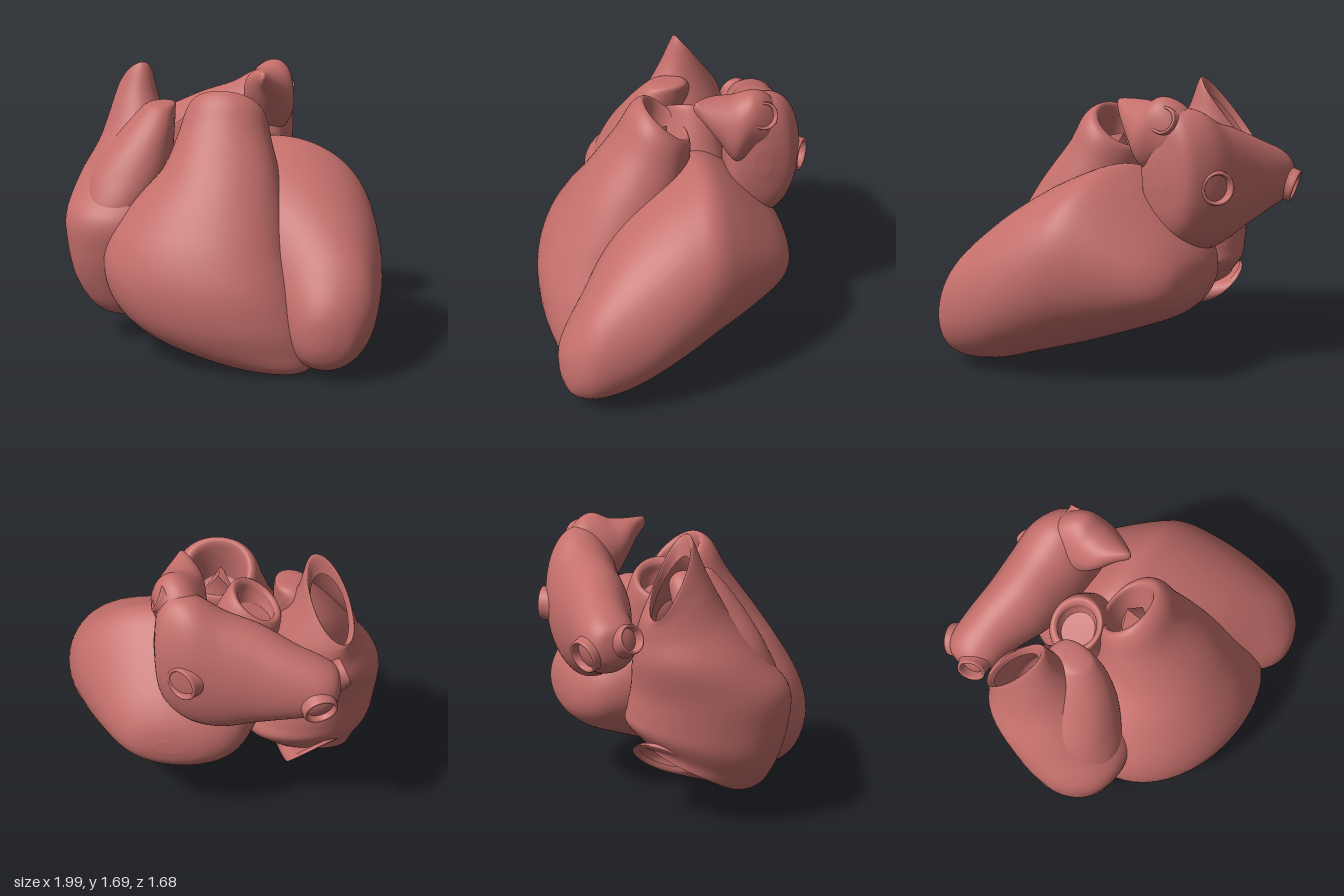
import * as THREE from 'three';

const material = new THREE.MeshStandardMaterial({ color: 0xc46f6b, side: THREE.DoubleSide });

// A ring is [centre, half-axis u, half-axis v] as nine numbers.
const yRing = (x, y, z, rx, rz, tilt = 0, lean = 0, rise = 0) => [x, y, z, rx, rise, 0, lean, tilt, rz];
const zRing = (z, x0, x1, y0, y1, lean = 0) =>
  [(x0 + x1) / 2, (y0 + y1) / 2, z, (x1 - x0) / 2, 0, 0, lean, (y1 - y0) / 2, 0];
const xRing = (x, y, z, ry, rz, slant = 0) => [x, y, z, 0, 0, rz, 0, ry, slant];

// Smooth skin through rings; power above 2 squares the section slightly.
function loft(name, rings, { power = 2, capStart = false, capEnd = false } = {}) {
  const around = 64, sub = 7, rows = (rings.length - 1) * sub;
  const pos = [], idx = [];
  const rounded = (t) => Math.sign(t) * Math.abs(t) ** (2 / power);
  const at = (i) => rings[Math.min(Math.max(i, 0), rings.length - 1)];
  for (let r = 0; r <= rows; r++) {
    const i = Math.min(Math.floor(r / sub), rings.length - 2), t = r / sub - i;
    const a = at(i - 1), b = at(i), c = at(i + 1), d = at(i + 2);
    const m = b.map((p, k) => 0.5 * (2 * p + (c[k] - a[k]) * t
      + (2 * a[k] - 5 * p + 4 * c[k] - d[k]) * t * t
      + (3 * p - a[k] - 3 * c[k] + d[k]) * t * t * t));
    for (let j = 0; j < around; j++) {
      const w = (j / around) * Math.PI * 2, cu = rounded(Math.cos(w)), cv = rounded(Math.sin(w));
      for (let k = 0; k < 3; k++) pos.push(m[k] + m[3 + k] * cu + m[6 + k] * cv);
      if (r < rows) {
        const p = r * around + j, q = r * around + (j + 1) % around;
        idx.push(p, q, p + around, q, q + around, p + around);
      }
    }
  }
  const cap = (ring, row, flip) => {
    const n = pos.length / 3;
    pos.push(ring[0], ring[1], ring[2]);
    for (let j = 0; j < around; j++) {
      const p = row * around + j, q = row * around + (j + 1) % around;
      idx.push(n, flip ? q : p, flip ? p : q);
    }
  };
  if (capStart) cap(rings[0], 0, true);
  if (capEnd) cap(rings[rings.length - 1], rows, false);
  const g = new THREE.BufferGeometry();
  g.setAttribute('position', new THREE.Float32BufferAttribute(pos, 3));
  g.setIndex(idx);
  g.computeVertexNormals();
  const mesh = new THREE.Mesh(g, material);
  mesh.name = name;
  return mesh;
}

// Flared vessel stump with a rolled lip and a hollow bore.
function vessel(name, base, tip, radius) {
  const from = new THREE.Vector3(...base), dir = new THREE.Vector3(...tip).sub(from);
  const len = dir.length();
  const profile = [[1.55, 0], [1.25, 0.4], [1.08, 0.75], [1.05, 0.95], [0.97, 1], [0.84, 0.95], [0.75, 0.6], [0.6, 0.2], [0, 0.1]]
    .map(([r, h]) => new THREE.Vector2(r * radius, h * len));
  const curve = new THREE.SplineCurve(profile);
  const mesh = new THREE.Mesh(new THREE.LatheGeometry(curve.getPoints(40), 40), material);
  mesh.position.copy(from);
  mesh.quaternion.setFromUnitVectors(new THREE.Vector3(0, 1, 0), dir.normalize());
  mesh.name = name;
  return mesh;
}

export function createModel() {
  const heart = new THREE.Group();
  heart.name = 'heart';

  // Left ventricle: long egg, apex low at the front, wide towards the base
  heart.add(loft('leftVentricle', [
    zRing(-0.675, 0.12, 0.3, 0.59, 0.67),
    zRing(-0.655, -0.02, 0.42, 0.51, 0.76),
    zRing(-0.6, -0.15, 0.52, 0.44, 0.86),
    zRing(-0.5, -0.24, 0.62, 0.375, 0.98),
    zRing(-0.3, -0.31, 0.77, 0.29, 1.18, -0.02),
    zRing(-0.15, -0.31, 0.86, 0.23, 1.265, -0.02),
    zRing(0, -0.25, 0.92, 0.18, 1.22, -0.04),
    zRing(0.2, -0.1, 0.97, 0.12, 1.11, -0.06),
    zRing(0.4, 0.12, 0.99, 0.06, 0.95, -0.04),
    zRing(0.6, 0.38, 0.98, 0.045, 0.73),
    zRing(0.73, 0.53, 0.9, 0.09, 0.54),
    zRing(0.785, 0.62, 0.8, 0.18, 0.42),
    zRing(0.8, 0.69, 0.73, 0.27, 0.33),
  ], { power: 2.1, capStart: true, capEnd: true }));

  // Right ventricle: wide pouch narrowing to a tilted, hollow outlet
  heart.add(loft('rightVentricle', [
    yRing(-0.01, 1.2, 0.1, 0.13, 0.1, 0.08),
    yRing(-0.01, 1.36, 0.05, 0.155, 0.11, 0.1),
    yRing(-0.01, 1.445, 0.03, 0.175, 0.12, 0.108),
    yRing(-0.005, 1.45, 0.035, 0.215, 0.145, 0.12),
    yRing(0, 1.4, 0.065, 0.25, 0.18, 0.115),
    yRing(0, 1.28, 0.115, 0.285, 0.225, 0.07),
    yRing(-0.005, 1.1, 0.21, 0.355, 0.32, 0, 0.02),
    yRing(-0.065, 0.9, 0.27, 0.47, 0.39, 0, 0.06),
    yRing(-0.11, 0.7, 0.335, 0.555, 0.435, 0, 0.1),
    yRing(-0.085, 0.5, 0.4, 0.595, 0.435, 0, 0.12),
    yRing(0, 0.3, 0.44, 0.58, 0.395, 0, 0.12),
    yRing(0.14, 0.15, 0.49, 0.485, 0.3, 0, 0.08),
    yRing(0.335, 0.045, 0.56, 0.28, 0.17, 0, 0.03),
    yRing(0.45, 0.005, 0.6, 0.08, 0.05),
  ], { power: 2.1, capStart: true, capEnd: true }));

  // Three-sided valve inside the outlet
  const valve = new THREE.Mesh(new THREE.ConeGeometry(0.13, 0.15, 3, 1, true), material);
  valve.position.set(-0.01, 1.34, 0.06);
  valve.rotation.set(-0.6, 0, 0);
  valve.name = 'outletValve';
  heart.add(valve);

  // Right atrium: open at the tilted upper vein and at the lower rear vein
  heart.add(loft('rightAtrium', [
    yRing(-0.68, 1.4, -0.28, 0.105, 0.12, 0.17, 0.04, 0.03),
    yRing(-0.68, 1.48, -0.28, 0.125, 0.145, 0.205, 0.07, 0.05),
    yRing(-0.66, 1.36, -0.25, 0.175, 0.2, 0.13, 0.04, 0.04),
    yRing(-0.63, 1.2, -0.19, 0.25, 0.27, 0.06, 0.03, 0.02),
    yRing(-0.63, 1.0, -0.1, 0.335, 0.37),
    yRing(-0.61, 0.8, -0.01, 0.385, 0.44, 0, -0.06),
    yRing(-0.595, 0.62, -0.02, 0.38, 0.44, -0.04, -0.09),
    yRing(-0.58, 0.47, -0.05, 0.36, 0.41, -0.1, -0.1),
    yRing(-0.58, 0.34, -0.05, 0.29, 0.33, -0.13, -0.07),
    yRing(-0.595, 0.29, -0.09, 0.23, 0.25, -0.13, -0.02),
    [-0.61, 0.33, -0.2, 0.18, 0, -0.09, 0.04, -0.12, 0.15],
    [-0.63, 0.385, -0.31, 0.14, 0, -0.12, 0.06, -0.115, 0.09],
    [-0.635, 0.42, -0.31, 0.115, 0, -0.1, 0.05, -0.095, 0.07],
  ], { power: 2.1 }));

  // Auricle folded forward against the outlet
  heart.add(loft('rightAuricle', [
    yRing(-0.7, 0.58, 0.15, 0.15, 0.2),
    yRing(-0.66, 0.82, 0.15, 0.2, 0.24),
    yRing(-0.59, 1.05, 0.08, 0.24, 0.23),
    yRing(-0.53, 1.25, 0, 0.185, 0.2, 0.02, 0.04),
    yRing(-0.47, 1.4, -0.06, 0.12, 0.15, 0.02, 0.03),
    yRing(-0.44, 1.455, -0.07, 0.08, 0.1),
    yRing(-0.43, 1.465, -0.07, 0.01, 0.01),
  ], { power: 2.2, capStart: true, capEnd: true }));

  // Aortic root between the atria and the right outlet
  heart.add(loft('aorticRoot', [
    yRing(-0.24, 1.26, -0.17, 0.1, 0.1, 0.01, 0, 0.04),
    yRing(-0.245, 1.31, -0.17, 0.11, 0.115, 0.02, 0, 0.06),
    yRing(-0.25, 1.36, -0.17, 0.11, 0.125, 0.02, 0, 0.07),
    yRing(-0.25, 1.37, -0.17, 0.145, 0.155, 0.02, 0, 0.09),
    yRing(-0.22, 1.28, -0.18, 0.18, 0.17, 0, 0, 0.08),
    yRing(-0.14, 1.08, -0.18, 0.23, 0.2),
    yRing(-0.05, 0.8, -0.17, 0.28, 0.24),
  ], { capStart: true }));
  heart.add(vessel('coronaryOpening', [-0.1, 1.29, -0.22], [-0.08, 1.37, -0.22], 0.03));

  // Left atrium: lies across the back
  heart.add(loft('leftAtrium', [
    xRing(-0.77, 1.13, -0.62, 0.04, 0.04),
    xRing(-0.745, 1.13, -0.63, 0.11, 0.11),
    xRing(-0.66, 1.13, -0.635, 0.17, 0.155),
    xRing(-0.5, 1.14, -0.62, 0.23, 0.175),
    xRing(-0.3, 1.15, -0.58, 0.31, 0.205),
    xRing(-0.1, 1.15, -0.56, 0.38, 0.225, -0.01),
    xRing(0.07, 1.2, -0.545, 0.42, 0.23, -0.01),
    xRing(0.2, 1.24, -0.52, 0.38, 0.21),
    xRing(0.27, 1.26, -0.51, 0.28, 0.16),
    xRing(0.3, 1.27, -0.5, 0.08, 0.05),
  ], { power: 2.1, capStart: true, capEnd: true }));

  // Left auricle: broad flap narrowing to a point at the front
  heart.add(loft('leftAuricle', [
    zRing(-0.64, 0.04, 0.22, 1.3, 1.53),
    zRing(-0.54, 0.01, 0.28, 1.24, 1.655, 0.02),
    zRing(-0.44, 0, 0.31, 1.22, 1.695, 0.04),
    zRing(-0.34, 0.02, 0.34, 1.26, 1.66, -0.01),
    zRing(-0.25, 0.05, 0.3, 1.39, 1.655, -0.02),
    zRing(-0.17, 0.12, 0.25, 1.51, 1.655, -0.02),
    zRing(-0.115, 0.165, 0.21, 1.58, 1.65),
    zRing(-0.1, 0.185, 0.195, 1.61, 1.62),
  ], { capStart: true, capEnd: true }));

  // Lung veins: two on each side
  heart.add(vessel('leftUpperLungVein', [0.17, 1.53, -0.49], [0.285, 1.58, -0.5], 0.078));
  heart.add(vessel('leftLowerLungVein', [0.02, 1.19, -0.63], [0.12, 1.19, -0.785], 0.095));
  heart.add(vessel('rightUpperLungVein', [-0.66, 1.13, -0.6], [-0.79, 1.18, -0.55], 0.08));
  heart.add(vessel('rightLowerLungVein', [-0.6, 1.13, -0.62], [-0.67, 1.07, -0.8], 0.095));

  return heart;
}
